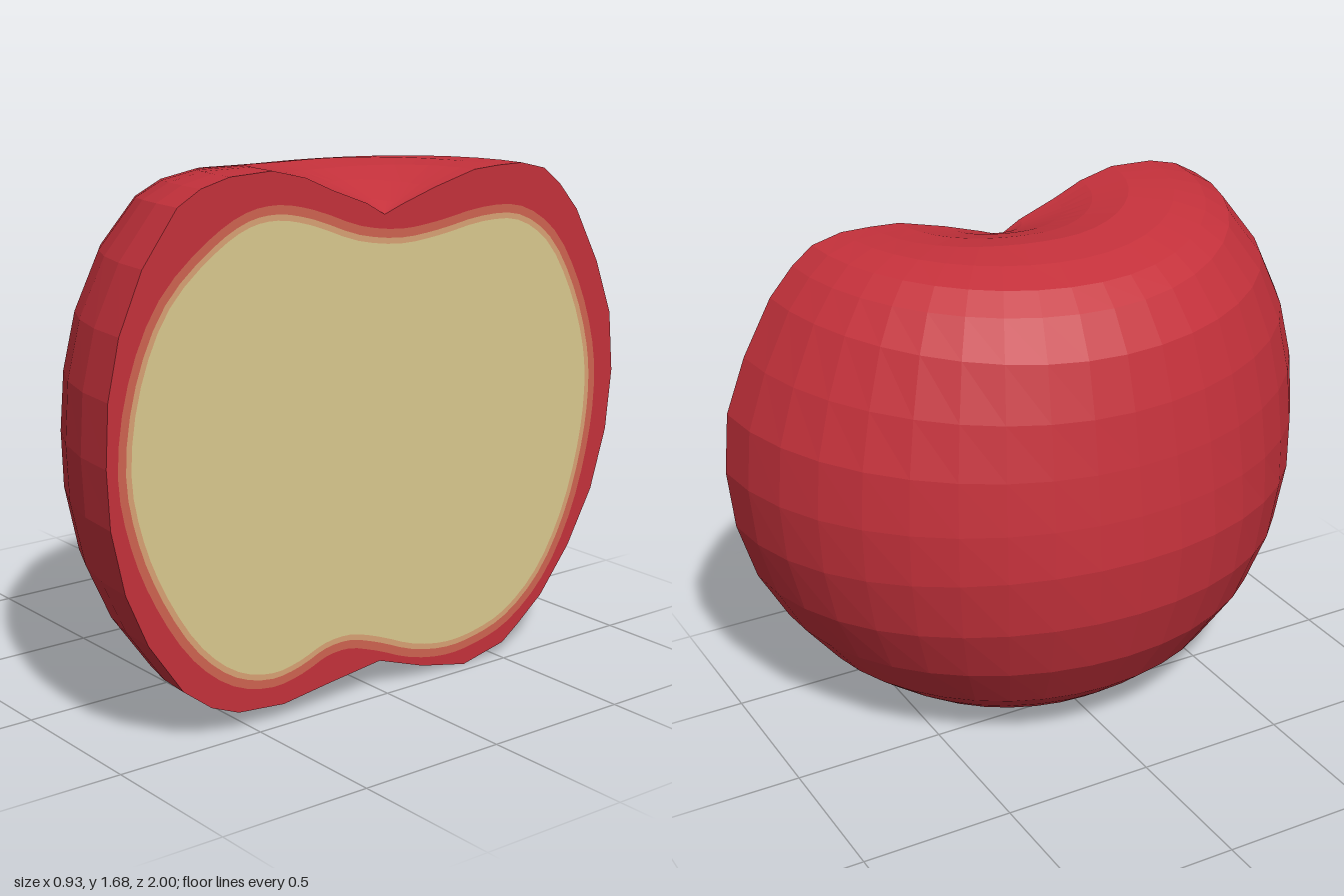
import * as THREE from 'three';

const CUT_X = 0.46;
const SEGMENTS = 20;

// Meridian profiles [radius, height] from the stem hollow down to the base hollow
const FRONT = [[0, 1.52], [0.07, 1.56], [0.2, 1.61], [0.3, 1.655], [0.42, 1.685], [0.57, 1.68], [0.67, 1.655],
  [0.75, 1.61], [0.87, 1.45], [0.95, 1.27], [0.99, 1.09], [1, 0.9], [0.99, 0.72], [0.945, 0.52],
  [0.87, 0.35], [0.75, 0.18], [0.65, 0.105], [0.55, 0.065], [0.38, 0.05], [0.2, 0.075], [0, 0.1]];
const SIDE = [[0, 1.52], [0.07, 1.555], [0.2, 1.6], [0.3, 1.625], [0.41, 1.64], [0.55, 1.62], [0.66, 1.58],
  [0.73, 1.52], [0.81, 1.4], [0.86, 1.23], [0.89, 1.06], [0.912, 0.9], [0.925, 0.75], [0.905, 0.55],
  [0.84, 0.36], [0.72, 0.18], [0.64, 0.11], [0.56, 0.05], [0.4, 0.025], [0.2, 0.05], [0, 0.1]];
const BACK = [[0, 1.52], [0.07, 1.545], [0.2, 1.585], [0.36, 1.625], [0.46, 1.63], [0.56, 1.63], [0.66, 1.605],
  [0.73, 1.55], [0.81, 1.46], [0.91, 1.28], [0.98, 1.1], [1, 0.9], [0.98, 0.7], [0.92, 0.5],
  [0.82, 0.32], [0.7, 0.17], [0.6, 0.09], [0.53, 0.04], [0.36, 0.003], [0.18, 0.04], [0, 0.1]];

// Outline of the flesh on the cut face [z, y]
const FLESH = [[0.917, 0.87], [0.88, 1.12], [0.78, 1.33], [0.62, 1.47], [0.5, 1.53], [0.4, 1.54], [0.28, 1.515],
  [0.1, 1.45], [-0.07, 1.425], [-0.22, 1.435], [-0.4, 1.46], [-0.55, 1.45], [-0.68, 1.37], [-0.79, 1.2],
  [-0.86, 1.0], [-0.874, 0.85], [-0.85, 0.66], [-0.78, 0.44], [-0.67, 0.26], [-0.53, 0.15], [-0.4, 0.11],
  [-0.28, 0.1], [-0.14, 0.125], [0, 0.18], [0.12, 0.215], [0.22, 0.21], [0.32, 0.175], [0.42, 0.16],
  [0.55, 0.195], [0.68, 0.3], [0.8, 0.48], [0.88, 0.67]];

function material(name, color) {
  const m = new THREE.MeshStandardMaterial({ color });
  m.name = name;
  return m;
}

// Half shell: blends the front, side and back profiles around the far side of the cut
function skinGeometry() {
  const positions = [];
  const index = [];
  const rows = FRONT.length;
  for (let i = 0; i <= SEGMENTS; i++) {
    const phi = (i / SEGMENTS) * Math.PI;
    const end = phi < Math.PI / 2 ? FRONT : BACK;
    const t = Math.sin(phi) ** 2;
    for (let j = 0; j < rows; j++) {
      const r = THREE.MathUtils.lerp(end[j][0], SIDE[j][0], t);
      const y = THREE.MathUtils.lerp(end[j][1], SIDE[j][1], t);
      positions.push(CUT_X - r * Math.sin(phi), y, r * Math.cos(phi));
    }
  }
  for (let i = 0; i < SEGMENTS; i++) {
    for (let j = 0; j < rows - 1; j++) {
      const a = i * rows + j;
      const b = a + rows;
      if (j > 0) index.push(a, b, a + 1);
      if (j < rows - 2) index.push(b, b + 1, a + 1);
      else index.push(a, b, a + 1);
    }
  }
  const g = new THREE.BufferGeometry();
  g.setAttribute('position', new THREE.Float32BufferAttribute(positions, 3));
  g.setIndex(index);
  const flat = g.toNonIndexed(); // faceted skin
  flat.computeVertexNormals();
  return flat;
}

// Smooth flesh outline, pushed outwards by a distance
function fleshOutline(distance) {
  const curve = new THREE.CatmullRomCurve3(FLESH.map(([z, y]) => new THREE.Vector3(-z, y, 0)), true);
  const points = [];
  for (let i = 0; i < 96; i++) {
    const p = curve.getPoint(i / 96);
    const d = curve.getTangent(i / 96);
    points.push(new THREE.Vector2(p.x - d.y * distance, p.y + d.x * distance));
  }
  return points;
}

// Flat face on the cut plane, with an optional hole
function cutFace(outline, hole) {
  const shape = new THREE.Shape(outline);
  if (hole) shape.holes.push(new THREE.Path(hole));
  return new THREE.ShapeGeometry(shape).rotateY(Math.PI / 2).translate(CUT_X, 0, 0);
}

export function createModel() {
  const group = new THREE.Group();
  group.name = 'halfApple';
  const red = material('skinRed', 0xc4313b);
  const rose = material('roseRing', 0xcf6350);
  const tan = material('tanRing', 0xd9a274);
  const cream = material('fleshCream', 0xdac98e);

  const add = (name, geometry, mat) => {
    const mesh = new THREE.Mesh(geometry, mat);
    mesh.name = name;
    group.add(mesh);
  };

  // Outer skin
  add('skin', skinGeometry(), red);

  // Cut face: red rim, two fading rings, then flesh
  const rim = [
    ...FRONT.map(([r, y]) => new THREE.Vector2(-r, y)),
    ...BACK.slice(1, -1).reverse().map(([r, y]) => new THREE.Vector2(r, y)),
  ];
  const outer = fleshOutline(0.045);
  const middle = fleshOutline(0.018);
  const inner = fleshOutline(0);
  add('cutRim', cutFace(rim, outer), red);
  add('outerRing', cutFace(outer, middle), rose);
  add('innerRing', cutFace(middle, inner), tan);
  add('flesh', cutFace(inner), cream);
  return group;
}
